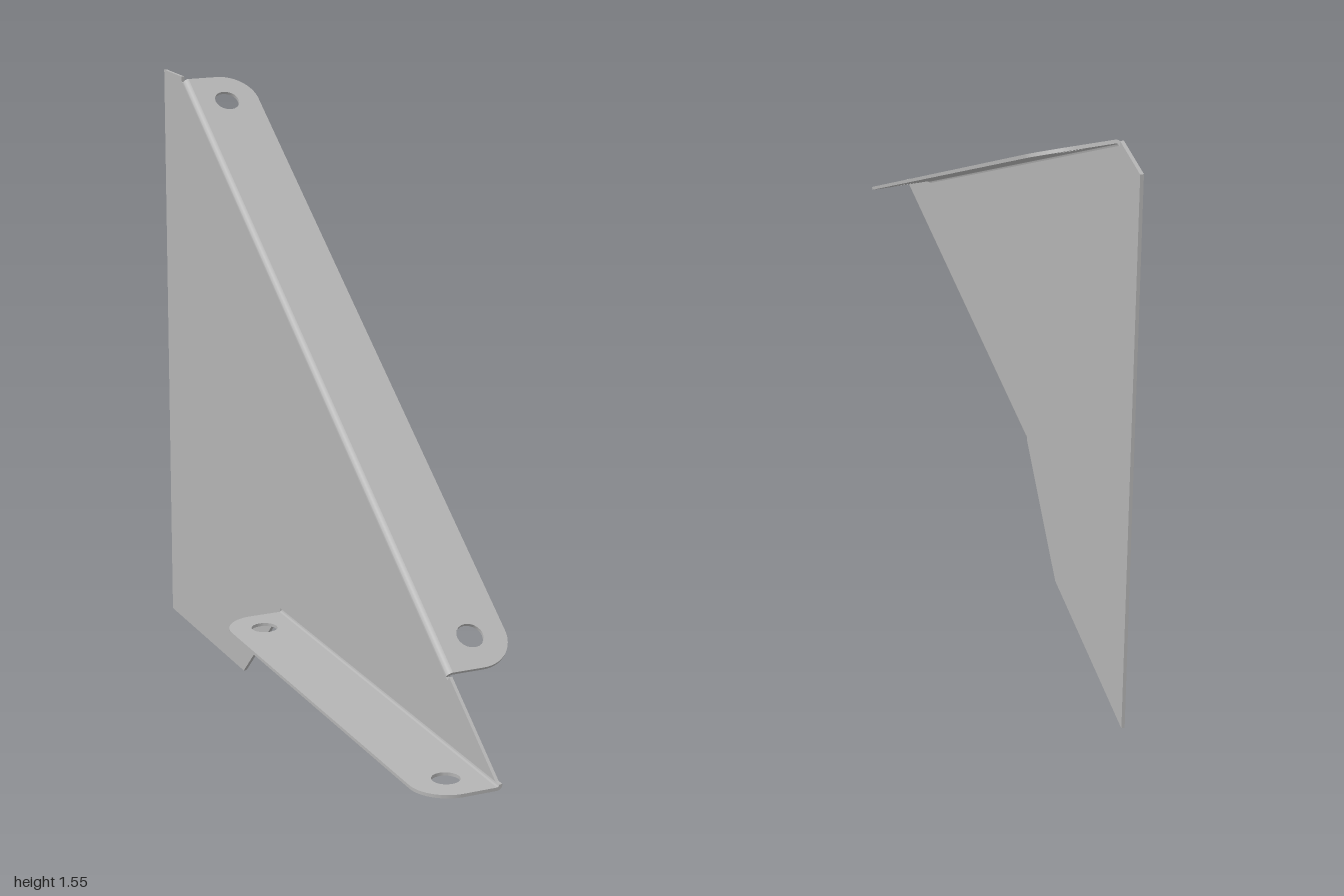
import * as THREE from 'three';
import { toCreasedNormals } from 'three/addons/utils/BufferGeometryUtils.js';

const T = 0.008;             // sheet thickness
const R_IN = 0.006;          // inner bend radius
const R_OUT = R_IN + T;      // outer bend radius
const WIDTH = 0.18;          // reach of each flange from the web
const CORNER = 0.09;         // rounded flange corners, centred on the holes
const HOLE = 0.033;

const steel = new THREE.MeshStandardMaterial({ color: 0xb4b4b4 });
steel.name = 'grey steel';

function part(name, shape, depth) {
  const geo = new THREE.ExtrudeGeometry(shape, { depth, bevelEnabled: false, curveSegments: 10 });
  const mesh = new THREE.Mesh(toCreasedNormals(geo, 0.5), steel);
  mesh.name = name;
  return mesh;
}

// Flange running along z, reaching to +x, with its outer face at y = 0
function makeFlange(name, length) {
  const group = new THREE.Group();
  group.name = name;
  const cx = R_OUT - T / 2;
  const h = length / 2;

  // Flat leaf with two rounded corners and two bolt holes
  const leaf = new THREE.Shape();
  leaf.moveTo(cx, -h);
  leaf.lineTo(WIDTH - CORNER, -h);
  leaf.absarc(WIDTH - CORNER, -h + CORNER, CORNER, -Math.PI / 2, 0, false);
  leaf.absarc(WIDTH - CORNER, h - CORNER, CORNER, 0, Math.PI / 2, false);
  leaf.lineTo(cx, h);
  leaf.closePath();
  for (const s of [-1, 1]) {
    const hole = new THREE.Path();
    hole.absarc(WIDTH - CORNER, s * (h - CORNER), HOLE, 0, Math.PI * 2, true);
    leaf.holes.push(hole);
  }
  const leafMesh = part(name + 'Leaf', leaf, T);
  leafMesh.geometry.rotateX(-Math.PI / 2).translate(0, -T, 0);

  // Quarter-round bend joining the leaf to the web
  const arc = new THREE.Shape();
  arc.absarc(cx, -R_OUT, R_OUT, Math.PI / 2, Math.PI, false);
  arc.absarc(cx, -R_OUT, R_IN, Math.PI, Math.PI / 2, true);
  arc.closePath();
  const bend = part(name + 'Bend', arc, length);
  bend.geometry.translate(0, 0, -h);

  group.add(leafMesh, bend);
  return group;
}

export function createModel() {
  const model = new THREE.Group();
  model.name = 'gussetBracket';

  // Key levels of the outline
  const base = 0.25, top = 1.55, zTop = -0.862;
  const slope = (top - base) / (1 - zTop);
  const angle = Math.atan(slope);
  const slantY = (z) => base + (1 - z) * slope;
  const zLow = 0.74, zHigh = -0.855;      // ends of the sloping flange
  const zBack = -0.21, zFront = 0.998;    // ends of the level flange
  const gap = 0.008;                      // bend relief

  // Point on the sloping edge, sunk below it by d
  const slant = (z, d) => [z - d * Math.sin(angle), slantY(z) - d * Math.cos(angle)];

  // Triangular web, cut back along both bends
  const outline = [
    [-1, 0], [-0.47, 0], [zBack - gap, base + 0.002],
    [zBack - gap, base + R_OUT], [1 - R_OUT / slope, base + R_OUT],
    slant(zLow + gap, 0), slant(zLow + gap, R_OUT),
    slant(zHigh, R_OUT), [zTop - gap, top - R_OUT], [zTop - gap, top], [-1, top],
  ];
  const web = part('web', new THREE.Shape(outline.map(([z, y]) => new THREE.Vector2(-z, y))), T);
  web.geometry.translate(0, 0, -T / 2).rotateY(Math.PI / 2);
  model.add(web);

  // Sloping flange on the left
  const sloping = makeFlange('slopingFlange', (zLow - zHigh) / Math.cos(angle));
  const zMid = (zLow + zHigh) / 2;
  sloping.position.set(0, slantY(zMid), zMid);
  sloping.rotation.x = angle;
  model.add(sloping);

  // Level flange on the right, turned to face down
  const level = makeFlange('levelFlange', zFront - zBack);
  level.position.set(0, base, (zFront + zBack) / 2);
  level.rotation.z = Math.PI;
  model.add(level);

  return model;
}
